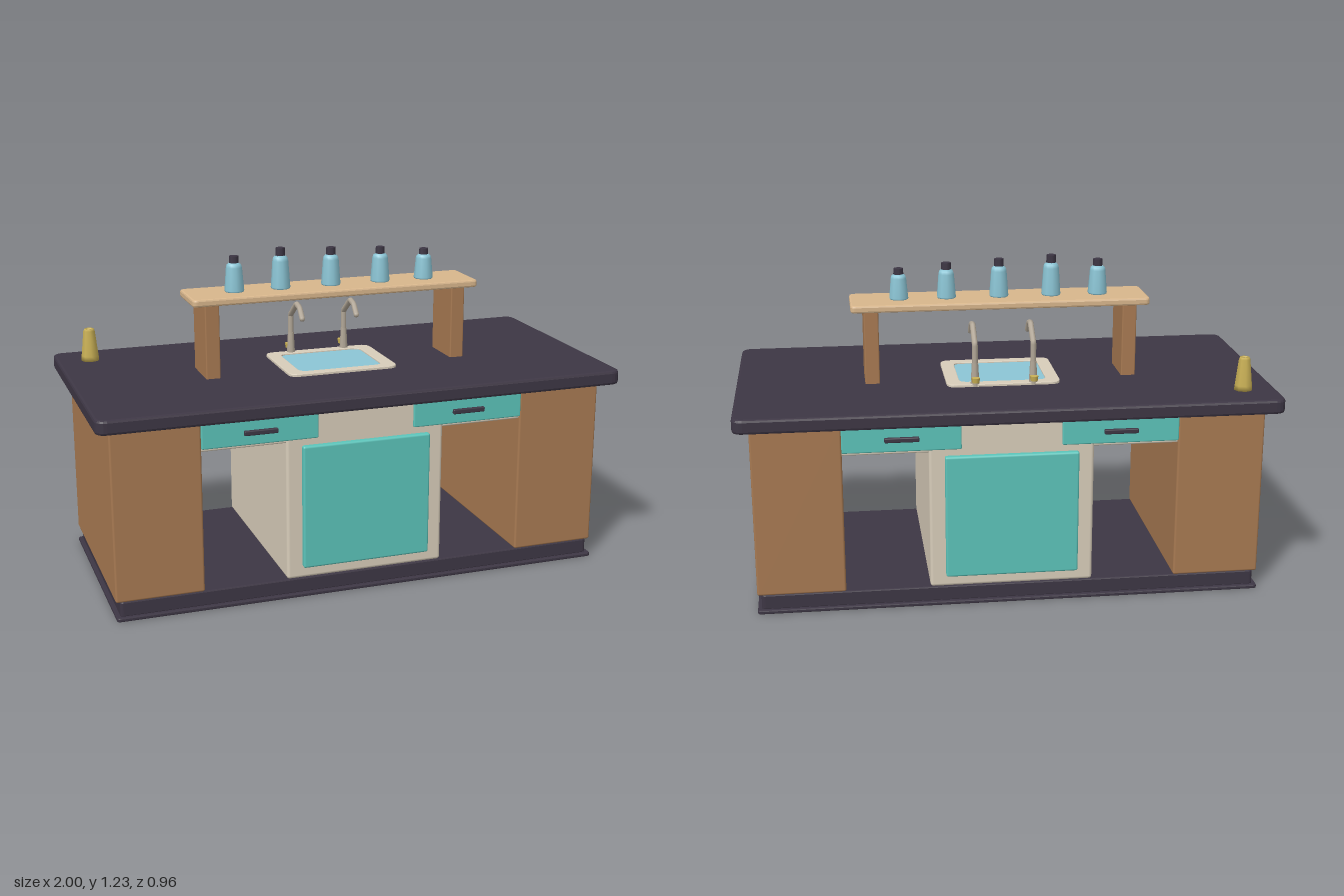
import * as THREE from 'three';
import { RoundedBoxGeometry } from 'three/addons/geometries/RoundedBoxGeometry.js';

function material(name, color, side = THREE.FrontSide) {
  const m = new THREE.MeshStandardMaterial({ color, side });
  m.name = name;
  return m;
}

// Rounded rectangle centred on the origin, as a Shape or a hole Path
function roundedRect(w, d, r, Type = THREE.Shape) {
  const s = new Type(), x = w / 2, y = d / 2;
  s.moveTo(-x + r, -y);
  s.lineTo(x - r, -y).quadraticCurveTo(x, -y, x, -y + r);
  s.lineTo(x, y - r).quadraticCurveTo(x, y, x - r, y);
  s.lineTo(-x + r, y).quadraticCurveTo(-x, y, -x, y - r);
  s.lineTo(-x, -y + r).quadraticCurveTo(-x, -y, -x + r, -y);
  return s;
}

// Horizontal slab with bevelled edges between heights y0 and y1
function slab(w, d, r, y0, y1, bevel, hole) {
  const shape = roundedRect(w - 2 * bevel, d - 2 * bevel, r);
  if (hole) shape.holes.push(hole);
  const g = new THREE.ExtrudeGeometry(shape, {
    depth: y1 - y0 - 2 * bevel, bevelEnabled: true, bevelSize: bevel,
    bevelThickness: bevel, bevelSegments: 2, curveSegments: 5,
  });
  g.rotateX(-Math.PI / 2);
  g.translate(0, y0 + bevel, 0);
  return g;
}

export function createModel() {
  const root = new THREE.Group();
  root.name = 'kitchenIsland';

  const dark = material('dark stone', 0x3d3644);
  const wood = material('brown wood', 0xa87a52);
  const lightWood = material('light wood', 0xd8b68c);
  const cream = material('cream panel', 0xd8cdba);
  const teal = material('teal front', 0x5cc4ba);
  const blue = material('pale blue', 0x8cc6d6);
  const gold = material('brass', 0xc9b055);
  const metal = material('tap metal', 0xb3a898);

  const add = (name, geometry, mat, x = 0, y = 0, z = 0, parent = root) => {
    const mesh = new THREE.Mesh(geometry, mat);
    mesh.name = name;
    mesh.position.set(x, y, z);
    parent.add(mesh);
    return mesh;
  };
  // Box given by its limits on each axis
  const box = (name, mat, [x0, x1], [y0, y1], [z0, z1], r = 0.008, parent = root) =>
    add(name, new RoundedBoxGeometry(x1 - x0, y1 - y0, z1 - z0, 2, r), mat,
      (x0 + x1) / 2, (y0 + y1) / 2, (z0 + z1) / 2, parent);

  // Plinth and worktop
  add('plinthFoot', slab(1.89, 0.83, 0.01, 0, 0.015, 0.004), dark);
  add('plinth', slab(1.86, 0.8, 0.01, 0.012, 0.07, 0.005), dark);
  add('worktop', slab(2, 0.96, 0.03, 0.72, 0.775, 0.01), dark);

  // Central cabinet
  box('centreCabinet', cream, [-0.305, 0.305], [0.068, 0.722], [-0.397, 0.397], 0.012);

  // Side cabinets, drawer boxes and shelf posts
  for (const s of [-1, 1]) {
    const span = (a, b) => (s > 0 ? [a, b] : [-b, -a]);
    box('sideCabinet', wood, span(0.618, 0.945), [0.068, 0.722], [-0.4, 0.4]);
    box('drawerBox', cream, span(0.29, 0.63), [0.597, 0.722], [-0.39, 0.39], 0.006);
    box('shelfPost', wood, span(0.462, 0.517), [0.77, 1.056], [-0.09, 0.09], 0.005);
  }

  // Door, drawers and handles, the same on both long sides
  for (const turn of [0, Math.PI]) {
    const face = new THREE.Group();
    face.name = turn ? 'backFronts' : 'frontFronts';
    face.rotation.y = turn;
    root.add(face);
    box('door', teal, [-0.247, 0.247], [0.113, 0.585], [0.39, 0.418], 0.008, face);
    for (const s of [-1, 1]) {
      box('drawerFront', teal, [s * 0.402 - 0.217, s * 0.402 + 0.217], [0.61, 0.705], [0.385, 0.406], 0.005, face);
      box('drawerHandle', dark, [s * 0.402 - 0.063, s * 0.402 + 0.063], [0.648, 0.666], [0.4, 0.418], 0.004, face);
    }
  }

  // Raised shelf
  add('shelf', slab(1.13, 0.216, 0.012, 1.052, 1.08, 0.007), lightWood);

  // Sink: rim with an opening and the water in it
  const opening = roundedRect(0.335, 0.272, 0.035, THREE.Path);
  add('sinkRim', slab(0.43, 0.345, 0.035, 0.772, 0.785, 0.003, opening), cream, 0, 0, -0.004);
  const water = new THREE.ShapeGeometry(roundedRect(0.345, 0.282, 0.035));
  water.rotateX(-Math.PI / 2);
  add('sinkWater', water, blue, 0, 0.779, -0.004);

  // Taps: bent spout, collar and brass knob
  const spout = new THREE.CurvePath();
  const bends = [[0.775, -0.163], [0.935, -0.163], [0.994, -0.085], [0.985, -0.045], [0.95, -0.015]]
    .map(([y, z]) => new THREE.Vector3(0, y, z));
  for (let i = 1; i < bends.length; i++) spout.add(new THREE.LineCurve3(bends[i - 1], bends[i]));
  for (const x of [-0.11, 0.11]) {
    const tap = new THREE.Group();
    tap.name = 'tap';
    tap.position.x = x;
    root.add(tap);
    add('tapSpout', new THREE.TubeGeometry(spout, 40, 0.011, 8), metal, 0, 0, 0, tap);
    add('tapTip', new THREE.SphereGeometry(0.011, 8, 6), metal, 0, 0.95, -0.015, tap);
    add('tapCollar', new THREE.CylinderGeometry(0.012, 0.017, 0.09, 8), metal, 0, 0.82, -0.163, tap);
    const stem = add('tapStem', new THREE.CylinderGeometry(0.006, 0.006, 0.03, 8), metal, 0, 0.805, -0.178, tap);
    stem.rotation.x = Math.PI / 2;
    add('tapKnob', new THREE.CylinderGeometry(0.016, 0.014, 0.018, 8), gold, 0, 0.805, -0.19, tap);
  }

  // Row of bottles on the shelf: x and total height
  const bottles = [[-0.38, 0.135], [-0.2, 0.155], [0, 0.145], [0.2, 0.135], [0.38, 0.118]];
  for (const [x, h] of bottles) {
    const bottle = new THREE.Group();
    bottle.name = 'bottle';
    bottle.position.set(x, 1.079, 0);
    root.add(bottle);
    const profile = [[0, 0], [0.035, 0], [0.037, 0.006], [0.03, 0.68 * h], [0.027, 0.76 * h], [0.017, 0.82 * h], [0, 0.82 * h]]
      .map(([r, y]) => new THREE.Vector2(r, y));
    add('bottleBody', new THREE.LatheGeometry(profile, 10), blue, 0, 0, 0, bottle);
    add('bottleCap', new THREE.CylinderGeometry(0.018, 0.019, 0.2 * h, 8), dark, 0, 0.9 * h, 0, bottle);
  }

  // Tapered brass mill with a dished top
  const mill = [[0, 0], [0.035, 0], [0.033, 0.02], [0.022, 0.118], [0.018, 0.126], [0.012, 0.126], [0.01, 0.115], [0, 0.115]]
    .map(([r, y]) => new THREE.Vector2(r, y));
  add('mill', new THREE.LatheGeometry(mill, 8), gold, -0.875, 0.774, -0.33);

  return root;
}
